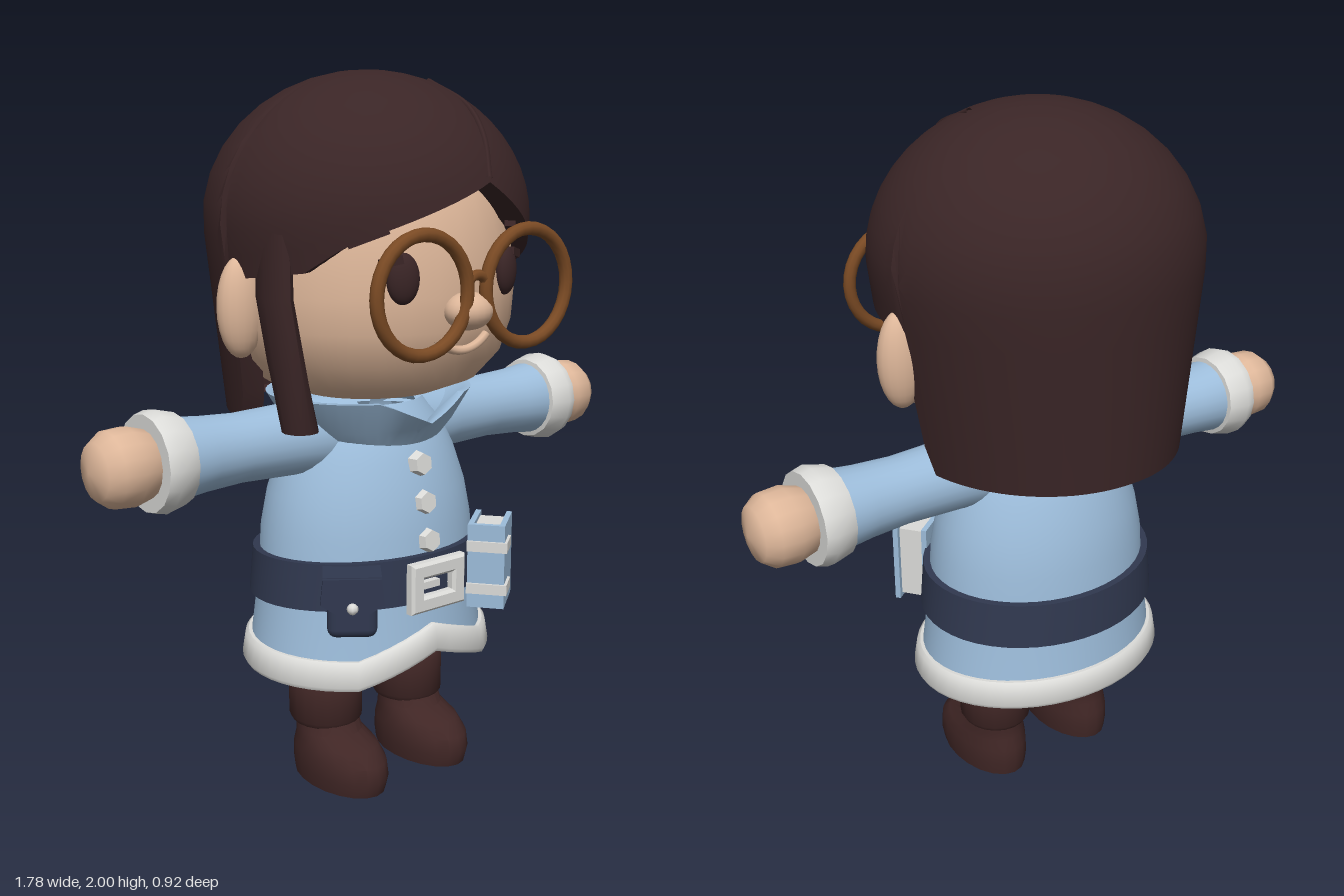
import * as THREE from 'three';
import { toCreasedNormals } from 'three/addons/utils/BufferGeometryUtils.js';
import { RoundedBoxGeometry } from 'three/addons/geometries/RoundedBoxGeometry.js';

const mat = (name, color, side = THREE.FrontSide) => {
  const m = new THREE.MeshStandardMaterial({ color, side });
  m.name = name;
  return m;
};

// Piecewise linear lookup in [[key, value], ...]
const lookup = (table, k) => {
  for (let i = 1; i < table.length; i++) {
    const [a, va] = table[i - 1], [b, vb] = table[i];
    if (k <= b) return va + (vb - va) * Math.max(0, (k - a) / (b - a));
  }
  return table[table.length - 1][1];
};

// Surface through closed rings, rows listed upwards; angle 0 faces the front
function loft(rows, n, point, capLow = false, capHigh = false) {
  const pos = [], idx = [];
  for (let i = 0; i < rows; i++)
    for (let j = 0; j < n; j++) pos.push(...point(i, -Math.PI + (j / n) * Math.PI * 2));
  for (let i = 0; i < rows - 1; i++)
    for (let j = 0; j < n; j++) {
      const a = i * n + j, b = i * n + (j + 1) % n;
      idx.push(a, b, b + n, a, b + n, a + n);
    }
  const cap = (row, up) => {
    const c = [0, 0, 0], id = pos.length / 3;
    for (let j = 0; j < n; j++) for (let k = 0; k < 3; k++) c[k] += pos[(row * n + j) * 3 + k] / n;
    pos.push(...c);
    for (let j = 0; j < n; j++) {
      const a = row * n + j, b = row * n + (j + 1) % n;
      idx.push(...(up ? [a, b, id] : [b, a, id]));
    }
  };
  if (capLow) cap(0, false);
  if (capHigh) cap(rows - 1, true);
  const g = new THREE.BufferGeometry();
  g.setAttribute('position', new THREE.Float32BufferAttribute(pos, 3));
  g.setIndex(idx);
  return toCreasedNormals(g, 0.8);
}

// Stack of ellipses: [y, centre x, centre z, radius x, radius z]
const stack = (s, n = 20) => loft(s.length, n, (i, t) =>
  [s[i][1] + Math.sin(t) * s[i][3], s[i][0], s[i][2] + Math.cos(t) * s[i][4]], true, true);
const lathe = (p, n = 24) => toCreasedNormals(
  new THREE.LatheGeometry(p.map(([r, y]) => new THREE.Vector2(r, y)), n), 0.8);

export function createModel() {
  const root = new THREE.Group();
  const hair = mat('dark brown', 0x3a2526, THREE.DoubleSide);
  const boots = mat('boot brown', 0x402625);
  const skin = mat('skin', 0xdeb79a);
  const blue = mat('light blue', 0x9dbddb, THREE.DoubleSide);
  const white = mat('off white', 0xdcdcd9, THREE.DoubleSide);
  const navy = mat('navy', 0x30384f, THREE.DoubleSide);
  const pants = mat('slate blue', 0x414e6c);
  const frame = mat('frame brown', 0x7a4a24);
  const add = (name, geo, m, pos = [0, 0, 0], rot = [0, 0, 0], parent = root) => {
    const mesh = new THREE.Mesh(geo, m);
    mesh.name = name;
    mesh.position.set(...pos);
    mesh.rotation.set(...rot);
    parent.add(mesh);
    return mesh;
  };
  const blob = (name, m, pos, scale, rot) =>
    add(name, new THREE.SphereGeometry(1, 20, 14), m, pos, rot).scale.set(...scale);
  const box = (...s) => new THREE.BoxGeometry(...s);

  // Head, nose and mouth
  add('head', lathe([[0, 1.12], [0.2, 1.13], [0.31, 1.17], [0.375, 1.24], [0.405, 1.33],
    [0.412, 1.42], [0.4, 1.55], [0.36, 1.7], [0.2, 1.88], [0, 1.92]], 32), skin).scale.z = 0.94;
  blob('nose', skin, [0, 1.385, 0.4], [0.07, 0.05, 0.06]);
  add('mouth', new THREE.TorusGeometry(0.12, 0.012, 8, 16, 1.6), skin,
    [0, 1.4, 0.378], [0, 0, -Math.PI / 2 - 0.8]);

  // Hair cap with a varying lower edge
  const hairPoint = (t, y) => {
    const up = y > 1.6 ? Math.sqrt(Math.max(0, 1 - ((y - 1.6) / 0.4) ** 2)) : 1;
    const down = Math.max(0, (1.6 - y) / 0.53);
    return [Math.sin(t) * up * (0.455 - 0.07 * down), y,
      -0.015 + Math.cos(t) * up * (0.445 - 0.02 * down)];
  };
  const edge = [[-180, 1.08], [-97, 1.07], [-92, 1.46], [-60, 1.49], [-45, 1.56], [8, 1.71],
    [45, 1.54], [65, 1.475], [92, 1.46], [97, 1.07], [180, 1.08]];
  add('hair', loft(16, 90, (i, t) => {
    const yb = lookup(edge, t * 180 / Math.PI);
    const s = Math.sin(Math.max(0, i - 1) / 14 * Math.PI / 2);
    const p = hairPoint(t, yb + (2 - yb) * s);
    return i ? p : [p[0] * 0.84, p[1], p[2] * 0.84];
  }), hair);
  add('hairParting', new THREE.TubeGeometry(new THREE.CatmullRomCurve3(
    [[8, 1.72], [15, 1.82], [25, 1.9], [60, 1.97]].map(([a, y]) =>
      new THREE.Vector3(...hairPoint(a * Math.PI / 180, y)))), 20, 0.009, 6), hair);
  add('sideLock', stack([[1.07, -0.35, 0.14, 0.048, 0.05], [1.25, -0.385, 0.13, 0.04, 0.065],
    [1.42, -0.405, 0.11, 0.032, 0.07], [1.6, -0.4, 0.1, 0.03, 0.07]], 12), hair);

  // Mirrored face parts, arms and legs
  const sleeve = lathe([[0.12, 0.1], [0.1, 0.28], [0.094, 0.45], [0.1, 0.56], [0.11, 0.65]]);
  const cuff = lathe([[0.09, 0.635], [0.122, 0.64], [0.137, 0.7], [0.128, 0.73], [0.09, 0.73]], 16);
  const hand = lathe([[0.07, 0.69], [0.09, 0.73], [0.104, 0.78], [0.1, 0.835], [0.075, 0.87], [0, 0.888]], 16);
  for (const s of [1, -1]) {
    blob('ear', skin, [s * 0.425, 1.388, -0.015], [0.068, 0.135, 0.052]);
    blob('eye', hair, [s * 0.18, 1.475, 0.35], [0.044, 0.066, 0.028], [0, s * 0.4, 0]);
    add('eyelash', box(0.06, 0.022, 0.02), hair, [s * 0.215, 1.52, 0.345], [0, s * 0.5, -s * 0.2]);
    add('eyebrow', box(0.11, 0.032, 0.03), hair, [s * 0.255, 1.585, 0.3], [0, s * 0.65, -s * 0.35]);
    add('glassesRing', new THREE.TorusGeometry(0.15, 0.018, 10, 32), frame, [s * 0.182, 1.44, 0.43]);
    const arm = [[0, 1.015, -0.01], [0, 0, -s * Math.PI / 2]];
    add('sleeve', sleeve, blue, ...arm);
    add('cuff', cuff, white, ...arm);
    add('hand', hand, skin, ...arm);
    const x = s * 0.155;
    add('trouserLeg', stack([[0.26, x, -0.015, 0.088, 0.09], [0.46, x, -0.015, 0.1, 0.1]]), pants);
    add('boot', stack([[0, x, 0.05, 0.1, 0.17], [0.04, x, 0.053, 0.106, 0.178],
      [0.085, x, 0.05, 0.105, 0.172], [0.12, x, 0.035, 0.098, 0.145],
      [0.145, x, 0, 0.09, 0.105], [0.2, x, -0.015, 0.085, 0.09]]), boots);
    add('bootCuff', stack([[0.165, x, -0.015, 0.095, 0.1], [0.18, x, -0.015, 0.104, 0.11],
      [0.29, x, -0.015, 0.106, 0.11], [0.302, x, -0.015, 0.099, 0.104]]), boots);
  }
  add('glassesBridge', new THREE.TorusGeometry(0.035, 0.014, 8, 12, Math.PI), frame, [0, 1.445, 0.43]);

  // Coat: oval body, lower edge rising to a point at the front
  const coatR = [[0.34, 0.37], [0.45, 0.355], [0.6, 0.335], [0.75, 0.325], [0.85, 0.305],
    [0.95, 0.27], [1.03, 0.23], [1.1, 0.17]];
  const coatPoint = (t, y, out = 0) => {
    const r = lookup(coatR, y);
    return [Math.sin(t) * (r + out), y, -0.015 + Math.cos(t) * (r * 0.82 + out)];
  };
  const hem = t => 0.34 + 0.08 * Math.max(0, 1 - Math.abs(t) / 0.65) + 0.01 * (1 - Math.cos(t));
  const coatY = [0, 0.56, 0.65, 0.75, 0.8, 0.85, 0.9, 0.95, 1.03, 1.1];
  add('coat', loft(10, 48, (i, t) => coatPoint(t, i ? coatY[i] : hem(t) + 0.02)), blue);
  const trim = [[0, -0.02], [0, 0.012], [0.012, 0.02], [0.07, 0.018], [0.08, 0.01], [0.08, -0.01]];
  add('hemTrim', loft(6, 48, (i, t) => coatPoint(t, hem(t) + trim[i][0], trim[i][1])), white);
  add('coatLining', stack([[0.4, 0, -0.015, 0.3, 0.24], [0.47, 0, -0.015, 0.34, 0.28]], 32), navy);
  const fold = [[0.99, 0.2, 0.19], [1.04, 0.25, 0.22], [1.13, 0.305, 0.27], [1.13, 0.285, 0.25], [1.05, 0.2, 0.17]];
  add('collar', loft(5, 48, (i, t) => {
    const [y, rx, rz] = fold[i];
    const dip = i > 1 ? 0.065 * Math.max(0, 1 - Math.abs(t) / 0.5) : 0;
    return [Math.sin(t) * rx, y - dip, Math.cos(t) * rz - 0.005];
  }), blue);
  for (const [y, z] of [[0.945, 0.22], [0.84, 0.24], [0.735, 0.258]])
    add('button', toCreasedNormals(new THREE.CylinderGeometry(0.03, 0.037, 0.03, 6), 0.3), white,
      [0, y, z], [Math.PI / 2 - 0.12, 0, 0]);

  // Belt and buckle
  const band = [[0.56, -0.01], [0.56, 0.02], [0.69, 0.02], [0.69, -0.01]];
  add('belt', loft(4, 48, (i, t) =>
    coatPoint(t, band[i][0] + 0.01 * Math.cos(t), band[i][1])), navy);
  const rect = (C, w, h) => {
    const s = new C();
    s.moveTo(-w, -h); s.lineTo(w, -h); s.lineTo(w, h); s.lineTo(-w, h); s.closePath();
    return s;
  };
  const buckle = rect(THREE.Shape, 0.09, 0.063);
  buckle.holes.push(rect(THREE.Path, 0.06, 0.033));
  add('buckle', new THREE.ExtrudeGeometry(buckle, { depth: 0.02, bevelSize: 0.008, bevelThickness: 0.008,
    bevelSegments: 1 }), white, [0, 0.618, 0.277]);
  add('buckleProng', box(0.07, 0.02, 0.02), white, [-0.03, 0.623, 0.288]);

  // Belt pouch
  const pouch = new THREE.Group();
  pouch.name = 'pouch';
  pouch.position.set(-0.255, 0.61, 0.235);
  pouch.rotation.y = -0.65;
  root.add(pouch);
  add('pouchBody', new RoundedBoxGeometry(0.135, 0.16, 0.1, 2, 0.025), navy, [0, -0.012, 0], [0, 0, 0], pouch);
  const flap = new THREE.Shape([[-0.078, 0.08], [-0.085, 0.01], [0, -0.045], [0.085, 0.01], [0.078, 0.08]]
    .map(p => new THREE.Vector2(...p)).reverse());
  add('pouchFlap', new THREE.ExtrudeGeometry(flap, { depth: 0.03, bevelEnabled: false }), navy,
    [0, 0, 0.035], [0, 0, 0], pouch);
  add('pouchLid', box(0.156, 0.025, 0.11), navy, [0, 0.07, 0], [0, 0, 0], pouch);
  add('pouchStud', new THREE.SphereGeometry(0.016, 8, 6), white, [0, 0, 0.067], [0, 0, 0], pouch);

  // Book hanging from the belt
  const book = new THREE.Group();
  book.name = 'book';
  book.position.set(0.242, 0.63, 0.25);
  book.rotation.y = 0.66;
  root.add(book);
  for (const z of [-0.045, 0.045])
    add('bookCover', box(0.16, 0.245, 0.016), blue, [0, 0, z], [0, 0, 0], book);
  add('bookSpine', box(0.016, 0.245, 0.09), blue, [-0.072, 0, 0], [0, 0, 0], book);
  add('bookPages', box(0.13, 0.22, 0.075), white, [0, 0, 0], [0, 0, 0], book);
  for (const y of [-0.065, 0.06]) {
    add('bookStrap', box(0.085, 0.03, 0.01), white, [-0.042, y, 0.056], [0, 0, 0], book);
    add('bookStrapSide', box(0.01, 0.03, 0.115), white, [-0.083, y, 0.003], [0, 0, 0], book);
  }
  return root;
}
